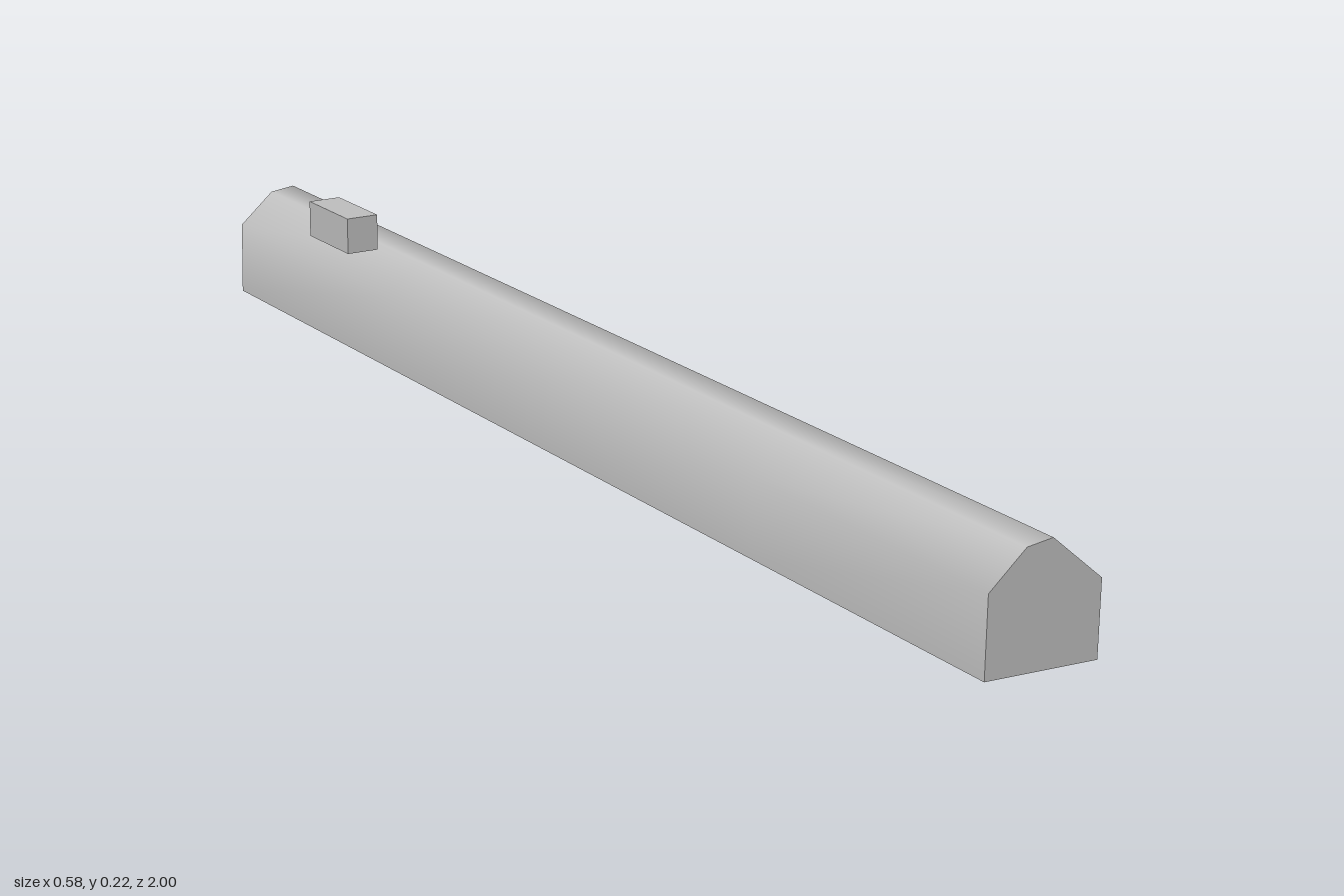
import * as THREE from 'three';

export function createModel() {
  const group = new THREE.Group();
  const grey = new THREE.MeshStandardMaterial({ color: 0xc0c0c0, side: THREE.DoubleSide });
  grey.name = 'plain grey';

  const yaw = 0.2055; // the hall stands slightly turned
  const half = 1.003;
  const bays = 4;
  // Cross-section from the left wall foot over the roof to the right wall foot
  const profile = [[-0.088, 0.006], [-0.086, 0.117], [-0.031, 0.165], [0.008, 0.17], [0.084, 0.105], [0.082, 0]];

  const hall = new THREE.Group();
  hall.name = 'hall';
  hall.rotation.y = yaw;
  group.add(hall);

  // Walls and roof: an open-bottomed shell swept along z with smooth normals
  const positions = [], indices = [], n = profile.length;
  for (let j = 0; j <= bays; j++) {
    const z = -half + (2 * half * j) / bays;
    for (const [x, y] of profile) positions.push(x, y, z);
  }
  for (let j = 0; j < bays; j++) {
    for (let i = 0; i < n - 1; i++) {
      const a = j * n + i, b = a + n;
      indices.push(a, b, b + 1, a, b + 1, a + 1);
    }
  }
  const shellGeometry = new THREE.BufferGeometry();
  shellGeometry.setAttribute('position', new THREE.Float32BufferAttribute(positions, 3));
  shellGeometry.setIndex(indices);
  shellGeometry.computeVertexNormals();
  const shell = new THREE.Mesh(shellGeometry, grey);
  shell.name = 'wallsAndRoof';
  hall.add(shell);

  // Gable ends and the inner cross walls between bays
  const section = new THREE.Shape(profile.map(([x, y]) => new THREE.Vector2(x, y)));
  const sectionGeometry = new THREE.ShapeGeometry(section);
  for (let j = 0; j <= bays; j++) {
    const wall = new THREE.Mesh(sectionGeometry, grey);
    wall.name = j === 0 ? 'backGable' : j === bays ? 'frontGable' : 'crossWall' + j;
    wall.position.z = -half + (2 * half * j) / bays;
    if (j === 0) wall.rotation.y = 0;
    hall.add(wall);
  }

  // Chimney block beside the ridge
  const chimney = new THREE.Mesh(new THREE.BoxGeometry(0.051, 0.055, 0.127), grey);
  chimney.name = 'chimney';
  chimney.position.set(-0.2125, 0.1945, -0.6175);
  chimney.rotation.y = yaw;
  group.add(chimney);

  return group;
}
